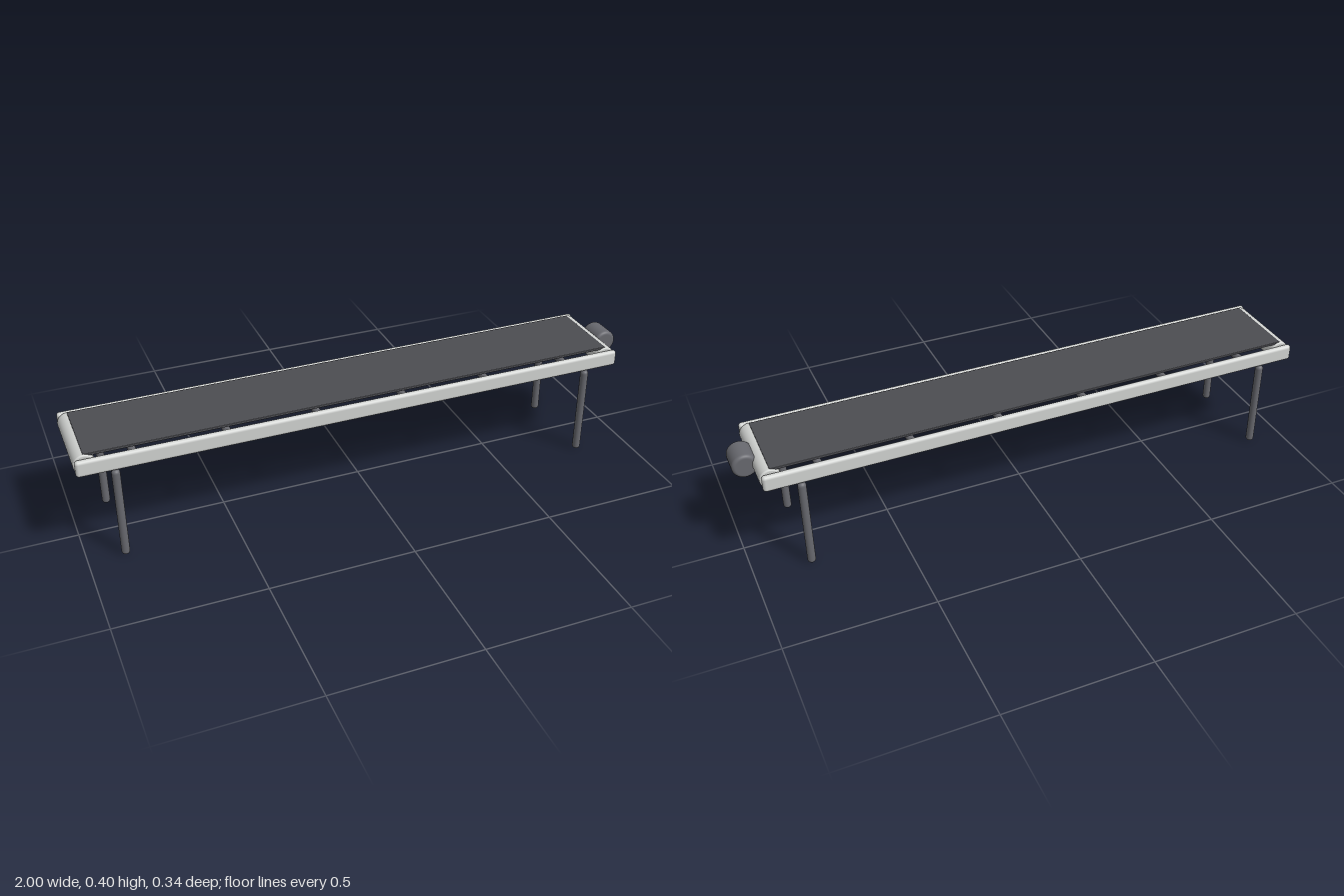
import * as THREE from 'three';
import { RoundedBoxGeometry } from 'three/addons/geometries/RoundedBoxGeometry.js';

const metal = new THREE.MeshStandardMaterial({ name: 'light metal', color: 0xd2d4d2 });
const dark = new THREE.MeshStandardMaterial({ name: 'dark grey metal', color: 0x68696f });
const rubber = new THREE.MeshStandardMaterial({ name: 'belt rubber', color: 0x4c4d52 });

// Cylinder along y, centred, with rounded rims
function roundedRod(radius, length, bevel, segments = 32) {
  const path = new THREE.Path();
  const h = length / 2;
  path.moveTo(0, -h);
  path.lineTo(radius - bevel, -h);
  path.absarc(radius - bevel, -h + bevel, bevel, -Math.PI / 2, 0, false);
  path.lineTo(radius, h - bevel);
  path.absarc(radius - bevel, h - bevel, bevel, 0, Math.PI / 2, false);
  path.lineTo(0, h);
  return new THREE.LatheGeometry(path.getPoints(6), segments);
}

export function createModel() {
  const model = new THREE.Group();
  model.name = 'conveyor';

  function add(name, geometry, material, x, y, z) {
    const mesh = new THREE.Mesh(geometry, material);
    mesh.name = name;
    mesh.position.set(x, y, z);
    model.add(mesh);
    return mesh;
  }

  const midX = -0.033;

  // Side rails and legs, mirrored front to back
  const railGeo = new RoundedBoxGeometry(1.928, 0.057, 0.023, 4, 0.011);
  const legGeo = roundedRod(0.014, 0.328, 0.012);
  for (const side of [1, -1]) {
    add('sideRail', railGeo, metal, midX, 0.3575, side * 0.1545);
    for (const x of [-0.875, 0.81]) add('leg', legGeo, dark, x, 0.164, side * 0.1545);
  }

  // End rollers
  const rollerGeo = roundedRod(0.0355, 0.28, 0.006, 48).rotateX(Math.PI / 2);
  for (const x of [-0.9645, 0.8995]) add('endRoller', rollerGeo, metal, x, 0.357, 0);

  // Belt
  add('belt', new RoundedBoxGeometry(1.865, 0.009, 0.27, 2, 0.002), rubber, midX, 0.3895, 0);

  // Support rods under the belt
  const rodGeo = roundedRod(0.013, 0.27, 0.008, 24).rotateX(Math.PI / 2);
  for (let i = 0; i < 6; i++) add('supportRod', rodGeo, dark, midX - 0.775 + i * 0.31, 0.354, 0);

  // Drive motor
  add('motor', roundedRod(0.0425, 0.096, 0.012, 48).rotateX(Math.PI / 2), dark, 0.9575, 0.3575, 0);

  return model;
}
